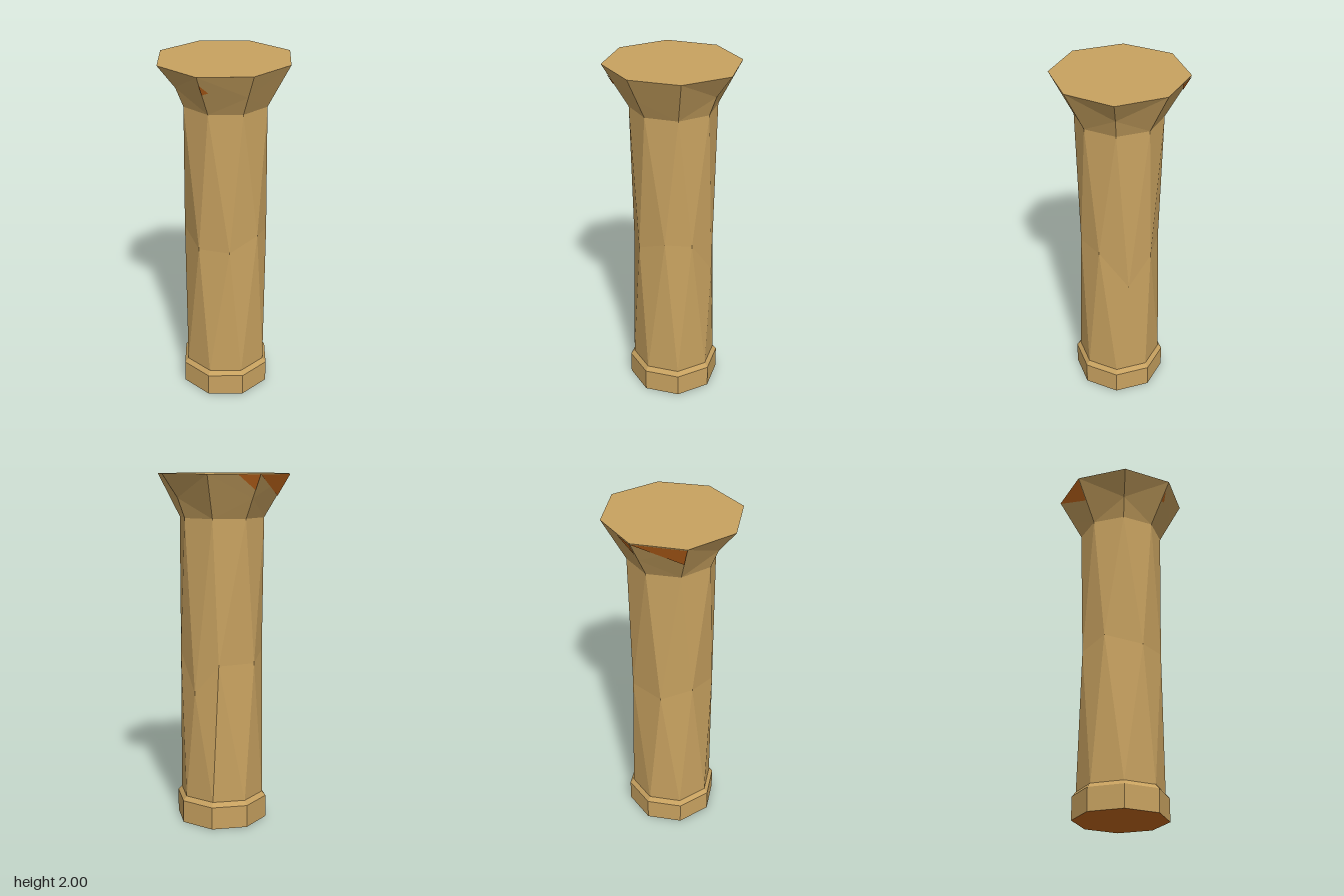
import * as THREE from 'three';

const SIDES = 8;

// Point at an angle (degrees) measured from the front (+z) towards +x
function polar(deg, r, y) {
  const a = THREE.MathUtils.degToRad(deg);
  return new THREE.Vector3(r * Math.sin(a), y, r * Math.cos(a));
}

function ring(r, y) {
  return Array.from({ length: SIDES }, (_, k) => polar(k * 45, r, y));
}

function facets(points) {
  const g = new THREE.BufferGeometry().setFromPoints(points);
  g.computeVertexNormals();
  return g;
}

// Skin between rings; rising(row, k) picks which way each quad is split
function loft(rings, rising) {
  const pts = [];
  for (let row = 0; row < rings.length - 1; row++) {
    for (let k = 0; k < SIDES; k++) {
      const n = (k + 1) % SIDES;
      const a = rings[row][k], b = rings[row][n];
      const c = rings[row + 1][n], d = rings[row + 1][k];
      if (rising(row, k)) pts.push(a, b, c, a, c, d);
      else pts.push(a, b, d, b, c, d);
    }
  }
  return facets(pts);
}

// Flat lid over a ring
function lid(points, up) {
  const pts = [];
  for (let k = 1; k < SIDES - 1; k++) {
    if (up) pts.push(points[0], points[k], points[k + 1]);
    else pts.push(points[0], points[k + 1], points[k]);
  }
  return facets(pts);
}

export function createModel() {
  const group = new THREE.Group();
  const stone = new THREE.MeshStandardMaterial({ color: 0xc8a260, flatShading: true });
  stone.name = 'sandstone';
  const rust = new THREE.MeshStandardMaterial({ color: 0xc76a1c, flatShading: true });
  rust.name = 'rust brown';

  const add = (name, geometry, material) => {
    const mesh = new THREE.Mesh(geometry, material);
    mesh.name = name;
    group.add(mesh);
  };

  // Base block with a bevelled shoulder
  const foot = ring(0.265, 0);
  add('base', loft([foot, ring(0.265, 0.13), ring(0.243, 0.155)], () => true), stone);
  add('baseUnderside', lid(foot, false), rust);

  // Shaft with an uneven, half-turned middle ring that gives hewn facets
  const midAngles = [27, 65, 107, 143, 198, 243, 298, 343];
  const midHeights = [1.02, 1.0, 0.78, 0.95, 0.95, 1.0, 0.95, 0.95];
  const middle = midAngles.map((a, k) => polar(a, 0.235, midHeights[k]));
  const neck = ring(0.242, 1.76);
  add('shaft', loft([ring(0.243, 0.15), middle, neck], (row) => row === 1), stone);

  // Flared capital, pinched inwards on its two side corners
  const rimRadii = [0.37, 0.368, 0.381, 0.37, 0.375, 0.383, 0.385, 0.383];
  const rim = rimRadii.map((r, k) => polar(k * 45, r, 2));
  const waist = neck.map((p, k) =>
    k === 2 || k === 6 ? polar(k * 45, 0.286, 1.87) : p.clone().lerp(rim[k], 0.46));
  add('capital', loft([neck, waist, rim], (row, k) => (k + row) % 2 === 1), stone);
  add('capitalTop', lid(rim, true), stone);

  // Thin worn patches on the capital; u runs along a face, v up it
  const patch = (name, k, corners) => {
    const n = (k + 1) % SIDES;
    const pts = corners.map(([u, v]) =>
      neck[k].clone().lerp(rim[k], v).lerp(neck[n].clone().lerp(rim[n], v), u));
    const normal = new THREE.Triangle(...pts).getNormal(new THREE.Vector3());
    pts.forEach((p) => p.addScaledVector(normal, 0.004));
    add(name, facets(pts), rust);
  };
  patch('backPatch', 4, [[0, 0.99], [1, 0.5], [1, 0.99]]);
  patch('backCornerPatch', 3, [[1, 0.65], [1, 0.99], [0.58, 0.99]]);
  patch('frontPatch', 7, [[0, 0.55], [0.15, 0.6], [0, 0.8]]);

  return group;
}
